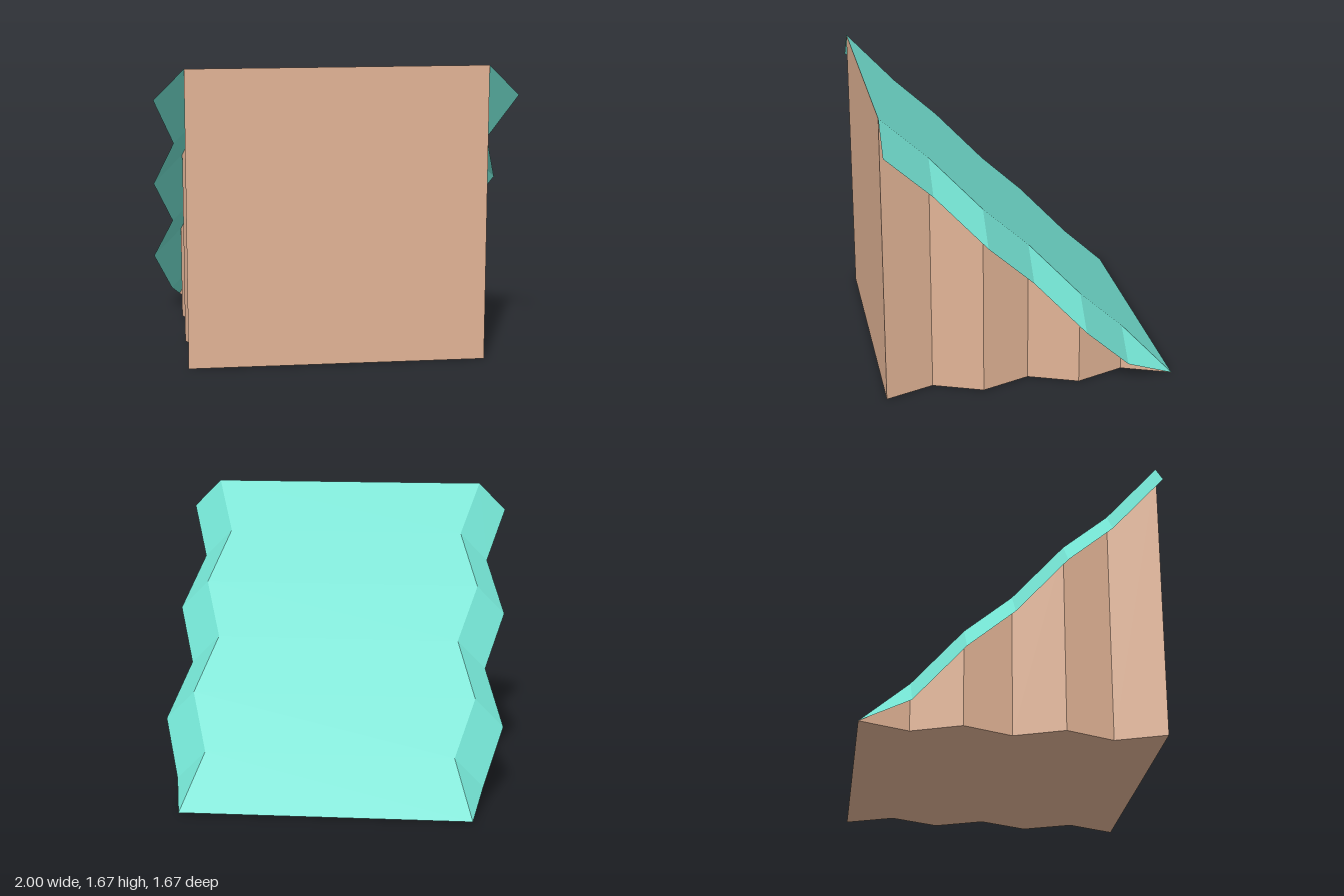
import * as THREE from 'three';

const S = 5 / 6;      // half depth of the slope
const STEPS = 6;      // zigzag folds from front to back
const LIP = 1 / 6;    // overhang of the turf, outward and downward

const turf = new THREE.MeshStandardMaterial({ name: 'turf', color: 0x72e0d0, side: THREE.DoubleSide });
const dirt = new THREE.MeshStandardMaterial({ name: 'dirt', color: 0xe2b496 });

// Flat-shaded strip of quads between two polylines of equal length
function strip(name, a, b, material) {
  const pts = [];
  for (let i = 0; i < a.length - 1; i++) {
    pts.push(a[i], a[i + 1], b[i + 1], a[i], b[i + 1], b[i]);
  }
  const geometry = new THREE.BufferGeometry().setFromPoints(pts);
  geometry.computeVertexNormals();
  const mesh = new THREE.Mesh(geometry, material);
  mesh.name = name;
  return mesh;
}

// Zigzag edges of one side, listed front to back
function sideEdges(side) {
  const bottom = [], top = [], lip = [];
  for (let i = 0; i <= STEPS; i++) {
    const z = S - (2 * S * i) / STEPS;
    const x = i % 2 ? S - LIP * 2 / 3 : S;
    const drop = i === STEPS ? 0 : LIP; // the lip tapers to a point at the foot
    bottom.push(new THREE.Vector3(side * x, 0, z));
    top.push(new THREE.Vector3(side * x, z + S, z));
    lip.push(new THREE.Vector3(side * (x + drop), z + S - drop, z));
  }
  return { bottom, top, lip };
}

export function createModel() {
  const group = new THREE.Group();
  group.name = 'grassSlope';
  const l = sideEdges(1), r = sideEdges(-1);

  // Earth body
  group.add(strip('leftWall', l.bottom, l.top, dirt));
  group.add(strip('rightWall', r.top, r.bottom, dirt));
  group.add(strip('base', r.bottom, l.bottom, dirt));
  group.add(strip('frontWall', [r.bottom[0], l.bottom[0]], [r.top[0], l.top[0]], dirt));

  // Turf surface and its folded overhangs
  group.add(strip('turfSlope', l.top, r.top, turf));
  group.add(strip('leftOverhang', l.lip, l.top, turf));
  group.add(strip('rightOverhang', r.top, r.lip, turf));
  return group;
}
